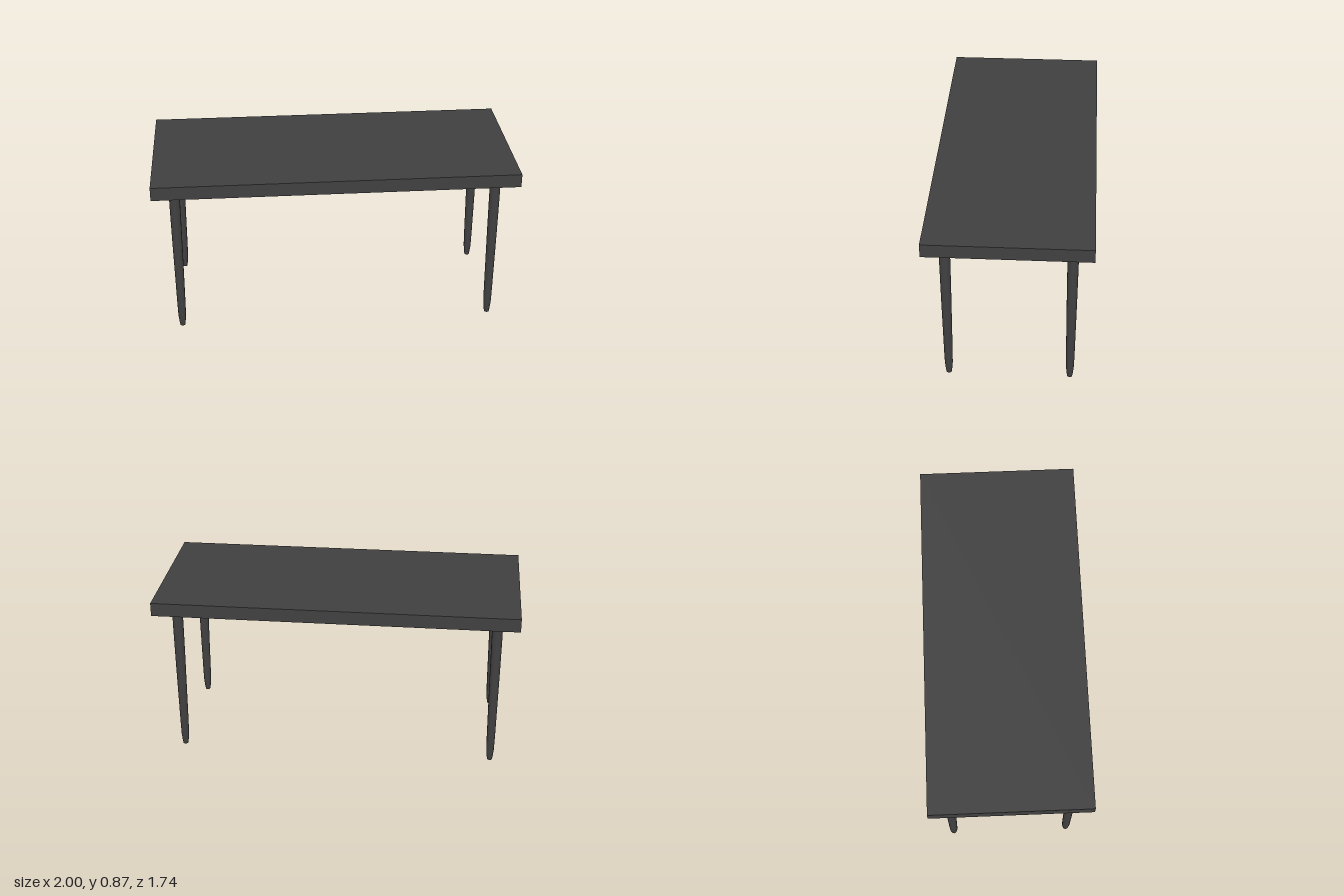
import * as THREE from 'three';
import { toCreasedNormals } from 'three/addons/utils/BufferGeometryUtils.js';

const LENGTH = 1.862, DEPTH = 0.82;
const UNDERSIDE = 0.803, TOP = 0.873;
const LEG_X = 0.819, LEG_Z = 0.307;

// Revolved solid from [radius, height] pairs, bottom to top
function turned(profile) {
  const points = profile.map(([r, y]) => new THREE.Vector2(r, y));
  return toCreasedNormals(new THREE.LatheGeometry(points, 32), 0.5);
}

export function createModel() {
  const model = new THREE.Group();
  model.name = 'table';
  const material = new THREE.MeshStandardMaterial({ color: 0x404040 });

  // Everything is built square, then the table is turned on the floor
  const table = new THREE.Group();
  table.name = 'turnedTable';
  table.rotation.y = 0.608;
  model.add(table);

  const add = (parent, geometry, name) => {
    const mesh = new THREE.Mesh(geometry, material);
    mesh.name = name;
    parent.add(mesh);
    return mesh;
  };

  // Slab top
  const top = add(table, new THREE.BoxGeometry(LENGTH, TOP - UNDERSIDE, DEPTH), 'tableTop');
  top.position.y = (TOP + UNDERSIDE) / 2;

  // Slightly tapered leg with a narrowed foot
  const legGeometry = turned([
    [0, 0], [0.013, 0], [0.016, 0.02], [0.02, 0.06], [0.0215, 0.14],
    [0.0255, 0.5], [0.027, 0.7], [0.027, UNDERSIDE],
  ]);
  // Thin round mounting plate
  const plateGeometry = turned([
    [0.02, UNDERSIDE - 0.011], [0.046, UNDERSIDE - 0.011],
    [0.052, UNDERSIDE - 0.007], [0.052, UNDERSIDE],
  ]);

  for (const sx of [-1, 1]) {
    for (const sz of [-1, 1]) {
      const leg = new THREE.Group();
      leg.name = (sz > 0 ? 'front' : 'back') + (sx > 0 ? 'Left' : 'Right') + 'Leg';
      leg.position.set(sx * LEG_X, 0, sz * LEG_Z);
      add(leg, legGeometry, 'legShaft');
      add(leg, plateGeometry, 'mountingPlate');
      table.add(leg);
    }
  }
  return model;
}
